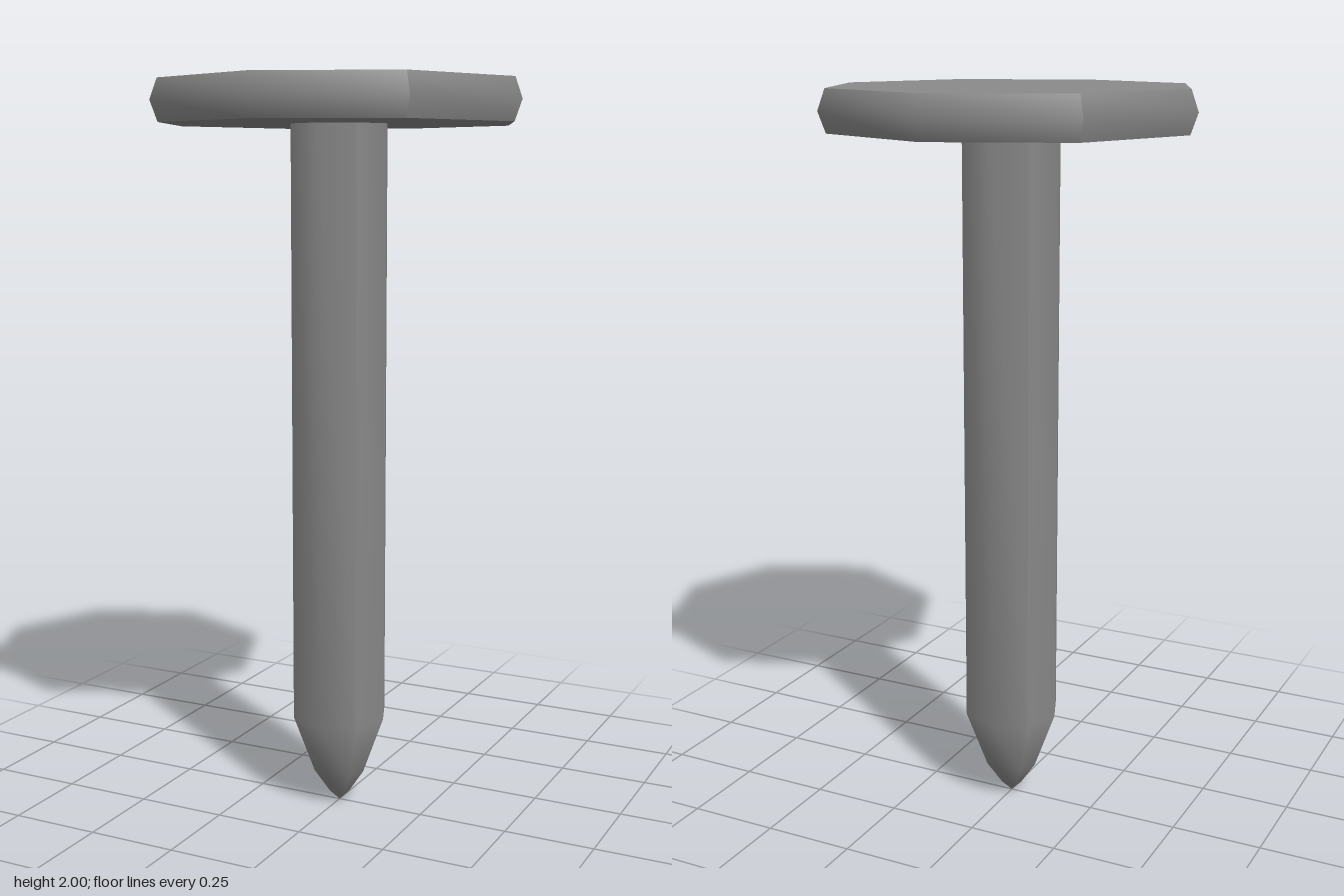
import * as THREE from 'three';

const SIDES = 8;

// Eight-sided shell in four panels: rounded across each axis, sharp on the diagonals.
function panelledShell(name, profile, material) {
  const group = new THREE.Group();
  group.name = name;
  const points = profile.map(([r, y]) => new THREE.Vector2(r, y));
  for (let i = 0; i < 4; i++) {
    const start = Math.PI / 4 + i * Math.PI / 2;
    const panel = new THREE.LatheGeometry(points, SIDES / 4, start, Math.PI / 2);
    panel.computeVertexNormals();
    const mesh = new THREE.Mesh(panel, material);
    mesh.name = name + 'Panel';
    group.add(mesh);
  }
  return group;
}

// Flat octagonal disc facing up or down.
function disc(name, radius, y, facing, material) {
  const mesh = new THREE.Mesh(new THREE.CircleGeometry(radius, SIDES), material);
  mesh.name = name;
  mesh.rotation.x = -facing * Math.PI / 2;
  mesh.position.y = y;
  return mesh;
}

export function createModel() {
  const steel = new THREE.MeshStandardMaterial({ color: 0x8a8a8a });
  steel.name = 'steel grey';
  const nail = new THREE.Group();
  nail.name = 'nail';

  // Shank with its rounded point
  nail.add(panelledShell('shank', [
    [0, 0.005], [0.03, 0.035], [0.074, 0.1], [0.135, 0.265], [0.135, 1.89],
  ], steel));

  // Head: bevelled rim, flat top and underside
  const head = new THREE.Group();
  head.name = 'head';
  head.add(
    panelledShell('rim', [[0.487, 1.89], [0.507, 1.945], [0.487, 2]], steel),
    disc('headTop', 0.487, 2, 1, steel),
    disc('headUnderside', 0.487, 1.89, -1, steel),
  );
  nail.add(head);
  return nail;
}
